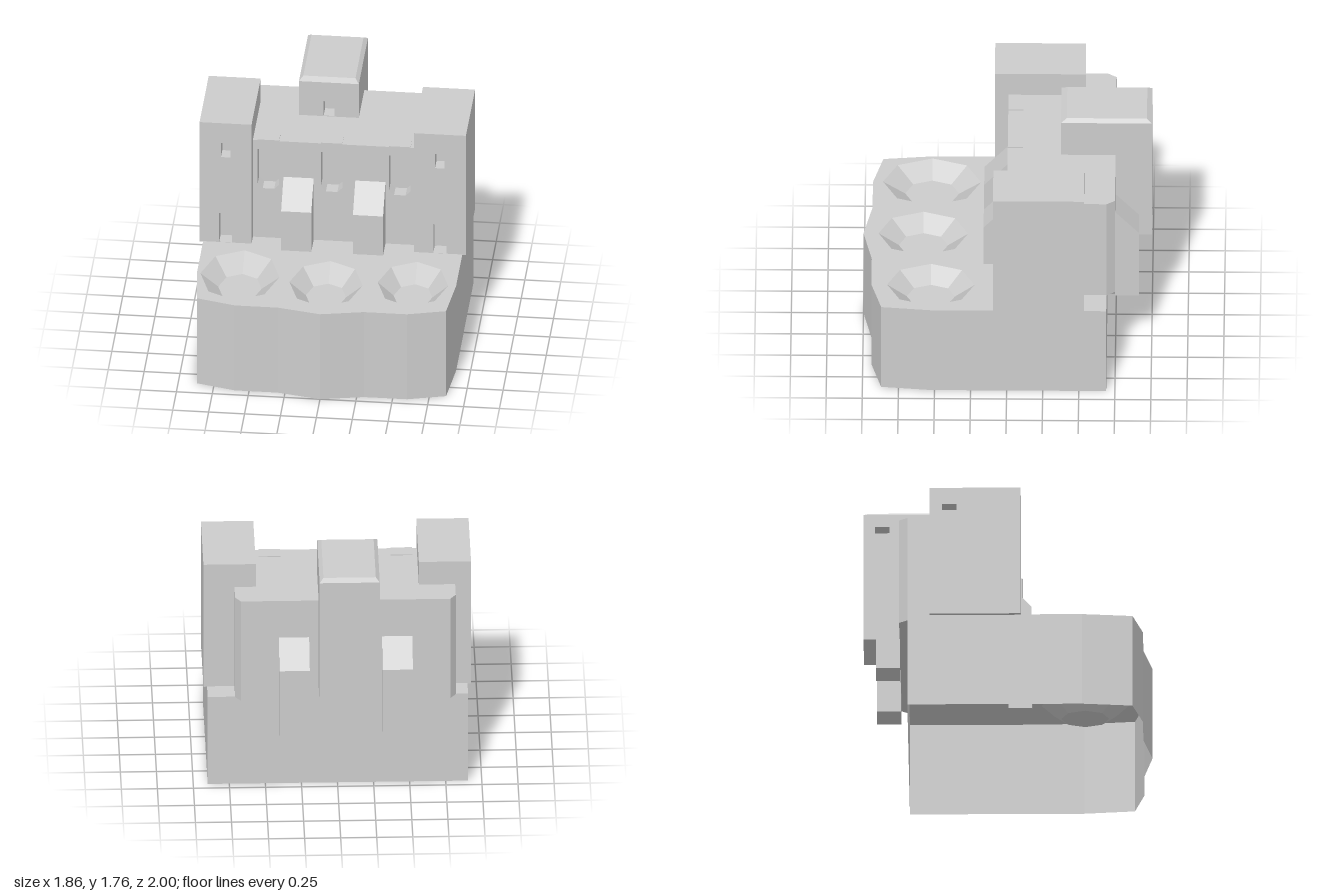
import * as THREE from 'three';

const material = new THREE.MeshStandardMaterial({ color: 0xcccccc, side: THREE.DoubleSide, flatShading: true });
const toVectors = (pts) => pts.map(([x, y]) => new THREE.Vector2(x, y));
const at = (pts, z) => pts.map(([x, y]) => [x, y, z]);
const rect = (x0, x1, y0, y1) => [[x0, y0], [x1, y0], [x1, y1], [x0, y1]];

function mesh(name, geometry) {
  const m = new THREE.Mesh(geometry, material);
  m.name = name;
  return m;
}

// Quads joining two loops; only the first n edges are filled
function band(name, a, b, n = a.length) {
  const pos = [];
  for (let i = 0; i < n; i++) {
    const j = (i + 1) % a.length;
    pos.push(...a[i], ...a[j], ...b[j], ...a[i], ...b[j], ...b[i]);
  }
  const g = new THREE.BufferGeometry();
  g.setAttribute('position', new THREE.Float32BufferAttribute(pos, 3));
  g.computeVertexNormals();
  return mesh(name, g);
}

// Flat panel facing +z, with recesses sunk into it
function panel(name, outline, recesses = []) {
  const group = new THREE.Group();
  group.name = name;
  const shape = new THREE.Shape(toVectors(outline));
  for (const { pts, depth = 0.1, taper = 1 } of recesses) {
    shape.holes.push(new THREE.Path(toVectors(pts)));
    const cx = pts.reduce((s, p) => s + p[0], 0) / pts.length;
    const cy = pts.reduce((s, p) => s + p[1], 0) / pts.length;
    const inner = pts.map(([x, y]) => [cx + (x - cx) * taper, cy + (y - cy) * taper]);
    const floor = mesh('recessFloor', new THREE.ShapeGeometry(new THREE.Shape(toVectors(inner))));
    floor.position.z = -depth;
    group.add(band('recessSides', at(pts, 0), at(inner, -depth)), floor);
  }
  group.add(mesh('surface', new THREE.ShapeGeometry(shape)));
  return group;
}

// Upright block from a plan outline given as (x, -z)
function block(name, outline, y0, y1, { walls, floor = true, recesses, top = outline } = {}) {
  const group = new THREE.Group();
  group.name = name;
  const roof = panel('roof', top, recesses);
  roof.position.z = y1;
  group.add(band('walls', at(outline, y0), at(top, y1), walls), roof);
  if (floor) {
    const under = panel('underside', outline);
    under.rotation.x = Math.PI;
    under.scale.y = -1;
    under.position.z = y0;
    group.add(under);
  }
  group.rotation.x = -Math.PI / 2;
  return group;
}

// Square tower with recesses in its front and in its -x side
function tower(name, x0, x1, z0, z1, y0, y1, frontHoles, sideHoles) {
  const group = new THREE.Group();
  group.name = name;
  const plan = [[x1, -z1], [x1, -z0], [x0, -z0], [x0, -z1]];
  const front = panel('frontWall', rect(x0, x1, y0, y1), frontHoles);
  front.position.z = z1;
  const side = panel('sideWall', rect(z0, z1, y0, y1), sideHoles);
  side.rotation.y = -Math.PI / 2;
  side.position.x = x0;
  group.add(block('body', plan, y0, y1, { walls: 2 }), front, side);
  return group;
}

// Wedge-topped buttress standing out from a wall by depth
function buttress(x, z, width, depth, facing) {
  const profile = [[0, 0.46], [depth, 0.46], [depth, 1.0], [0, 1.18]];
  const g = new THREE.ExtrudeGeometry(new THREE.Shape(toVectors(profile)), { depth: width, bevelEnabled: false });
  g.translate(0, 0, -width / 2);
  g.rotateY(-Math.PI / 2 * facing);
  const m = mesh(facing > 0 ? 'frontButtress' : 'backButtress', g);
  m.position.set(x, 0, z);
  return m;
}

export function createModel() {
  const model = new THREE.Group();
  model.name = 'castle';

  // Hollow base with a wavy front and three eight-sided bowls
  const baseOutline = [[0.9, -0.52], [0.9, 0.69], [-0.905, 0.69], [-0.905, -0.52], [-0.87, -0.87], [-0.6, -0.94],
    [-0.3, -0.94], [0, -1], [0.3, -0.94], [0.6, -0.94], [0.865, -0.87]];
  const bowls = [[-0.605, 0.53, 0.275, 0.34], [0, 0.585, 0.255, 0.31], [0.6, 0.528, 0.245, 0.303]].map(([x, z, rx, rz]) => ({
    pts: Array.from({ length: 8 }, (_, i) => {
      const a = i * Math.PI / 4;
      return [x + rx * Math.cos(a), -z + rz * Math.sin(a)];
    }),
    depth: 0.1,
    taper: 0.55,
  }));
  model.add(block('base', baseOutline, 0, 0.685, { floor: false, recesses: bowls }));

  // Keep with chamfered back corners and an open front edge
  const keepPlan = [[0.71, 0], [0.71, 0.69], [0.67, 0.748], [-0.78, 0.748], [-0.82, 0.69], [-0.82, 0]];
  model.add(block('keep', keepPlan, 0.682, 1.465, { walls: 5 }));

  // Keep front with round-bottomed niches, each under a thin slab
  const nicheCentres = [-0.46, -0.02, 0.455];
  const niches = nicheCentres.map((x) => ({
    pts: [[x - 0.075, 1.395], [x - 0.075, 1.115], [x - 0.04, 1.08], [x + 0.04, 1.08], [x + 0.075, 1.115], [x + 0.075, 1.395]],
  }));
  model.add(panel('keepFront', rect(-0.82, 0.71, 0.682, 1.465), niches));
  for (const x of nicheCentres) {
    const slab = mesh('nicheSlab', new THREE.BoxGeometry(0.15, 0.01, 0.105));
    slab.position.set(x, 1.466, -0.0525);
    model.add(slab);
  }

  // Corner towers with window and door
  for (const [name, x0, x1, c] of [['rightTower', -0.93, -0.568, -0.748], ['leftTower', 0.562, 0.925, 0.743]]) {
    model.add(tower(name, x0, x1, -0.535, 0.095, 0.682, 1.643,
      [{ pts: rect(c - 0.033, c + 0.033, 1.37, 1.483) }, { pts: rect(c - 0.045, c + 0.045, 0.687, 0.917) }],
      [{ pts: rect(-0.45, -0.35, 1.41, 1.52) }]));
  }

  // Rear tower with a bevelled cap
  model.add(tower('rearTower', -0.285, 0.132, -1, -0.37, 0.785, 1.737,
    [{ pts: rect(-0.113, -0.038, 1.47, 1.585) }],
    [{ pts: rect(-0.92, -0.82, 1.53, 1.645) }]));
  const capPlan = rect(-0.285, 0.132, 0.37, 1);
  model.add(block('rearTowerCap', capPlan, 1.737, 1.76, { floor: false, top: rect(-0.258, 0.105, 0.41, 0.965) }));

  // Buttresses
  for (const x of [-0.25, 0.25]) model.add(buttress(x, 0, 0.21, 0.165, 1));
  for (const x of [-0.412, 0.303]) model.add(buttress(x, -0.745, 0.21, 0.167, -1));

  return model;
}
